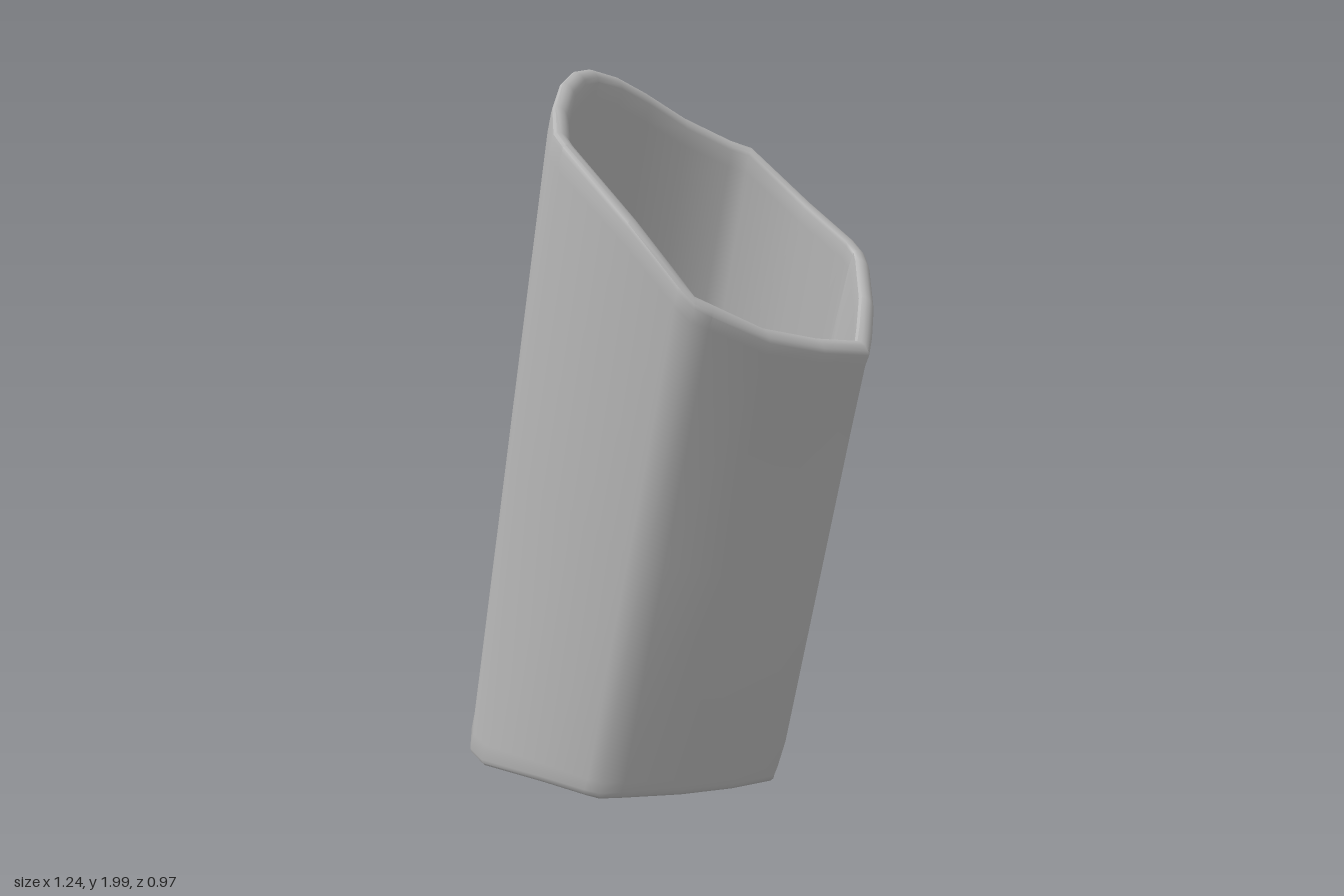
import * as THREE from 'three';
import { toCreasedNormals } from 'three/addons/utils/BufferGeometryUtils.js';

const WALL = 0.045;

// Half outline from left ridge to right ridge:
// [bottom x, bottom y, bottom z, top x, top y, top z, extra height of the back rim]
const OUTLINE = [
  [-0.62, 0.09, 0, -0.275, 2.0, 0, 0],
  [-0.595, 0.08, 0.1, -0.255, 1.985, 0.1, 0],
  [-0.55, 0.075, 0.2, -0.22, 1.945, 0.2, 0],
  [-0.48, 0.065, 0.32, -0.155, 1.875, 0.32, 0],
  [-0.39, 0.06, 0.43, -0.06, 1.8, 0.44, 0.01],
  [-0.31, 0.06, 0.475, 0.0, 1.765, 0.48, 0.02],
  [-0.1, 0.065, 0.485, 0.2, 1.58, 0.485, 0.04],
  [0.05, 0.06, 0.482, 0.345, 1.43, 0.485, 0.08],
  [0.09, 0.055, 0.47, 0.385, 1.39, 0.475, 0.085],
  [0.13, 0.05, 0.425, 0.415, 1.37, 0.44, 0.075],
  [0.23, 0.03, 0.28, 0.495, 1.3, 0.3, 0.045],
  [0.31, 0.015, 0.14, 0.565, 1.265, 0.14, 0.015],
  [0.36, 0, 0, 0.622, 1.25, 0, 0],
];

// Full outline, mirrored to the back
function makeColumns() {
  const column = ([bx, by, bz, tx, ty, tz, extra], side) => ({
    bottom: new THREE.Vector3(bx, by, bz * side),
    top: new THREE.Vector3(tx, side > 0 ? ty : ty + extra, tz * side),
  });
  const front = OUTLINE.map((p) => column(p, 1));
  const back = OUTLINE.slice(1, -1).reverse().map((p) => column(p, -1));
  return [...front, ...back];
}

// Horizontal direction towards the tube's middle at each point of a loop
function inwardNormals(loop) {
  const n = loop.length;
  return loop.map((p, i) => {
    const a = p.clone().sub(loop[(i + n - 1) % n]).setY(0).normalize();
    const b = loop[(i + 1) % n].clone().sub(p).setY(0).normalize();
    const t = a.add(b).normalize();
    return new THREE.Vector3(t.z, 0, -t.x);
  });
}

function tubeGeometry() {
  const columns = makeColumns();
  const n = columns.length;
  const inBottom = inwardNormals(columns.map((c) => c.bottom));
  const inTop = inwardNormals(columns.map((c) => c.top));

  // Wall section: [height fraction, inward depth, lift], up outside and down inside
  const section = [];
  const steps = 6, r = WALL / 2;
  const lip = (end) => {
    for (let k = 0; k <= steps; k++) {
      const a = (k / steps) * Math.PI;
      const depth = r * (1 - Math.cos(a));
      section.push(end ? [1, depth, r * (Math.sin(a) - 1)]
        : [0, WALL - depth, r * (1 - Math.sin(a))]);
    }
  };
  section.push([0.04, 0, 0], [0.5, 0, 0], [0.96, 0, 0]);
  lip(true);
  section.push([0.96, WALL, 0], [0.5, WALL, 0], [0.04, WALL, 0]);
  lip(false);

  const positions = [], index = [];
  for (const [f, depth, lift] of section) {
    columns.forEach((c, i) => {
      const p = c.bottom.clone().lerp(c.top, f);
      const inward = inBottom[i].clone().lerp(inTop[i], f).normalize();
      p.addScaledVector(inward, depth);
      // the rim follows the slanted cut
      p.y += lift - 0.5 * f * depth * inward.x;
      positions.push(p.x, p.y, p.z);
    });
  }
  const m = section.length;
  for (let j = 0; j < m; j++) {
    for (let i = 0; i < n; i++) {
      const i2 = (i + 1) % n, j2 = (j + 1) % m;
      const a = j * n + i, b = j * n + i2, c = j2 * n + i2, d = j2 * n + i;
      index.push(a, b, c, a, c, d);
    }
  }
  const geometry = new THREE.BufferGeometry();
  geometry.setAttribute('position', new THREE.Float32BufferAttribute(positions, 3));
  geometry.setIndex(index);
  return toCreasedNormals(geometry, 0.62);
}

export function createModel() {
  const group = new THREE.Group();
  group.name = 'leaningTube';
  const grey = new THREE.MeshStandardMaterial({ color: 0xb4b4b4 });
  grey.name = 'plain grey';

  // Leaning six-sided tube, open at both ends, with a rounded slanted rim
  const tube = new THREE.Mesh(tubeGeometry(), grey);
  tube.name = 'tubeWall';
  group.add(tube);
  return group;
}
